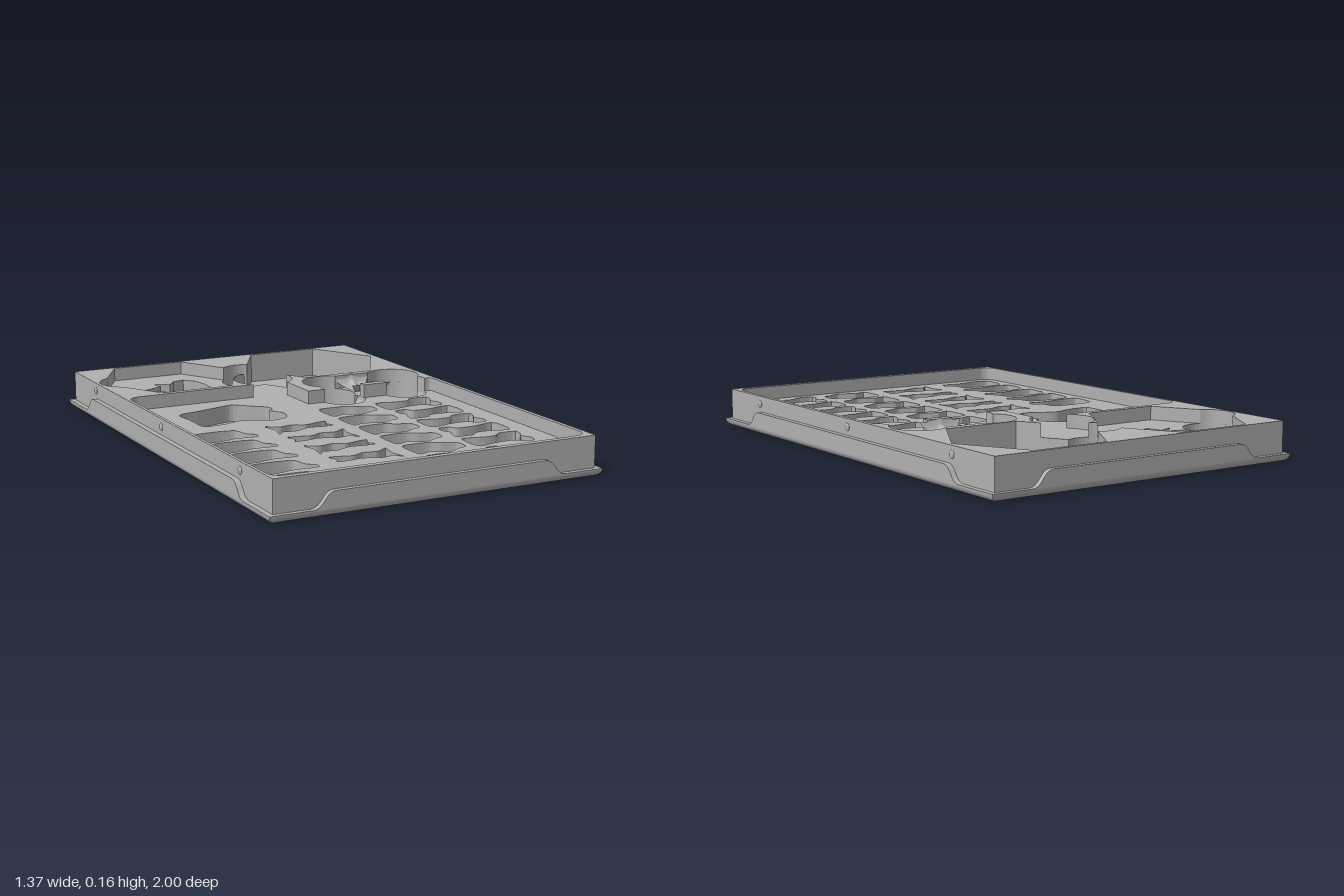
import * as THREE from 'three';

const HALF_X = 0.663, HALF_Z = 0.98;
const BASE = 0.03, MID = 0.1, TOP = 0.155;

// Plan outlines are lists of [x, z]
const arc = (cx, cz, r, a0, a1, n = 20) => Array.from({ length: n + 1 }, (_, i) => {
  const a = THREE.MathUtils.degToRad(a0 + (a1 - a0) * i / n);
  return [cx + r * Math.cos(a), cz + r * Math.sin(a)];
});
const toPath = (pts) => new THREE.Path(pts.map(([x, z]) => new THREE.Vector2(x, z)));
const blob = (pts, n = 48) => new THREE.CatmullRomCurve3(
  pts.map(([x, z]) => new THREE.Vector3(x, 0, z)), true, 'catmullrom', 0.4)
  .getPoints(n).slice(0, -1).map((p) => [p.x, p.z]);

// Round pockets shared between the layers
const finger = (a, b) => arc(0, -0.48, 0.125, a, b);
const hexFinger = (a, b) => arc(0.015, -0.69, 0.1, a, b);
const WELL_X = [0.222, 0.53], BOWL_X = [0.23, 0.522];
const WELL_Z = -0.298, WELL_R = 0.112, BOWL_Z = -0.185, BOWL_R = 0.095;
const well = (i, a, b) => arc(WELL_X[i], WELL_Z, WELL_R, a, b, 32);
const bowlRim = (i, a, b) => arc(BOWL_X[i], BOWL_Z, BOWL_R, a, b);
const rightHex = [[0.173, -0.963], [0.487, -0.963], [0.643, -0.69], [0.487, -0.417], [0.173, -0.417]];

export function createModel() {
  const group = new THREE.Group();
  const grey = new THREE.MeshStandardMaterial({ color: 0xb0b0b0, side: THREE.DoubleSide });
  grey.name = 'grey plastic';
  const add = (geometry, name, parent = group) => {
    const mesh = new THREE.Mesh(geometry, grey);
    mesh.name = name;
    parent.add(mesh);
    return mesh;
  };

  // Base plate with rounded lower edge; lathe radius encodes the inset from the rim
  const profile = [[0, 0]];
  for (let i = 0; i <= 8; i++) {
    const a = i / 8 * Math.PI / 2;
    profile.push([1 - 0.028 * (1 - Math.sin(a)), 0.028 * (1 - Math.cos(a))]);
  }
  profile.push([1, BASE], [0, BASE]);
  let base = new THREE.LatheGeometry(profile.map(([r, y]) => new THREE.Vector2(r, y)), 4, Math.PI / 4);
  const bp = base.attributes.position;
  for (let i = 0; i < bp.count; i++) {
    const r = Math.hypot(bp.getX(i), bp.getZ(i));
    if (r < 0.1) continue;
    bp.setX(i, Math.sign(bp.getX(i)) * (0.685 - 1 + r));
    bp.setZ(i, Math.sign(bp.getZ(i)) * r);
  }
  base = base.toNonIndexed();
  base.computeVertexNormals();
  add(base, 'basePlate');

  // A slab of the tray with pockets cut through it
  const slab = (name, bottom, top, holes) => {
    const shape = new THREE.Shape([[-1, -1], [1, -1], [1, 1], [-1, 1]]
      .map(([x, z]) => new THREE.Vector2(x * HALF_X, z * HALF_Z)));
    shape.holes = holes.map(toPath);
    const g = new THREE.ExtrudeGeometry(shape, { depth: top - bottom, bevelEnabled: false });
    g.rotateX(Math.PI / 2).translate(0, top, 0);
    add(g, name);
  };

  // Upper slab: both hexagons, the grips and the wide recess join into one opening
  slab('upperTray', MID, TOP, [[
    [-0.487, -0.963], [-0.173, -0.963], ...hexFinger(-136, -60), ...rightHex,
    ...finger(-12, 61), [0.06, -0.17],
    ...bowlRim(0, 171, 202), ...well(0, 137, 312), ...well(1, 228, 403), ...bowlRim(1, 338, 369),
    ...arc(0.63, -0.155, 0.015, -90, 0, 5), ...arc(0.595, 0.905, 0.05, 0, 90, 10),
    ...arc(-0.6, 0.905, 0.05, 90, 180, 10), ...arc(-0.6, -0.34, 0.05, 180, 270, 10),
    ...finger(134, 255), ...hexFinger(117, 136), [-0.173, -0.417], [-0.487, -0.417],
    ...arc(-0.55, -0.69, 0.1, 113, 247),
  ]]);

  // Small pocket outlines, one per column
  const slabPiece = [[-0.13, 0.05], [-0.11, -0.06], [0, -0.075], [0.08, -0.06], [0.095, 0],
    [0.125, 0.03], [0.12, 0.06], [0.03, 0.055], [-0.05, 0.072], [-0.115, 0.068]];
  const bonePiece = [[-0.128, -0.065], [-0.08, -0.035], [-0.02, -0.045], [0.03, -0.022], [0.08, -0.035],
    [0.125, -0.04], [0.11, 0], [0.125, 0.03], [0.07, 0.03], [0.02, 0.022], [-0.05, 0.05],
    [-0.1, 0.04], [-0.128, 0.072], [-0.115, 0]];
  const lumpPiece = [[-0.11, -0.06], [-0.06, -0.075], [0.01, -0.07], [0.05, -0.045], [0.105, -0.02],
    [0.105, 0.04], [0.065, 0.055], [0.02, 0.08], [-0.03, 0.06], [-0.06, 0.05], [-0.108, 0.06]];
  const clubPiece = [[-0.125, -0.06], [-0.04, -0.045], [0.02, -0.045], [0.05, -0.072], [0.122, -0.068],
    [0.12, -0.03], [0.105, 0], [0.122, 0.035], [0.115, 0.075], [0.07, 0.075], [0.045, 0.045],
    [-0.03, 0.045], [-0.125, 0.06]];
  const pockets = [];
  const column = (outline, x, z0, rows, flipX, flipZ) => {
    for (let i = 0; i < rows; i++) {
      const odd = i % 2 ? -1 : 1;
      pockets.push(blob(outline.map(([px, pz]) =>
        [x + px * (flipX ? odd : 1), z0 + i * 0.168 + pz * (flipZ ? odd : 1)])));
    }
  };
  column(slabPiece, -0.48, 0.167, 5);
  column(bonePiece, -0.143, 0.167, 5, true);
  column(lumpPiece, 0.16, 0.005, 6);
  column(clubPiece, 0.435, 0.005, 6, true, true);

  // Large irregular pocket and the jagged pocket in the left hexagon
  pockets.push(blob([[-0.49, -0.23], [-0.39, -0.26], [-0.32, -0.28], [-0.23, -0.3], [-0.17, -0.25],
    [-0.115, -0.2], [-0.11, -0.16], [-0.135, -0.14], [-0.1, -0.08], [-0.12, -0.01], [-0.18, 0.015],
    [-0.24, -0.01], [-0.31, -0.035], [-0.39, -0.01], [-0.48, -0.01], [-0.485, -0.12]], 72));
  pockets.push([[-0.442, -0.72], [-0.35, -0.765], [-0.365, -0.82], [-0.3, -0.785], [-0.265, -0.83],
    [-0.215, -0.84], [-0.175, -0.79], [-0.165, -0.72], [-0.17, -0.63], [-0.22, -0.56], [-0.245, -0.545],
    [-0.27, -0.59], [-0.34, -0.575], [-0.355, -0.64], [-0.42, -0.61], [-0.37, -0.665], [-0.442, -0.685]]);

  // Lower slab: only the deep pockets
  slab('lowerTray', BASE, MID, [
    [...rightHex, ...hexFinger(60, 300)],
    arc(-0.55, -0.69, 0.1, 0, 350, 35),
    ...[0, 1].map((i) => [...well(i, 137, 403), ...bowlRim(i, -22, 202)]),
    ...pockets,
  ]);

  // Rounded bowls in front of the two wells
  for (const i of [0, 1]) {
    const g = new THREE.SphereGeometry(BOWL_R, 40, 14, 0, Math.PI * 2, Math.PI / 2, Math.PI / 2);
    g.scale(1.01, 0.068 / BOWL_R, 1.01).translate(BOWL_X[i], MID, BOWL_Z);
    const p = g.attributes.position;
    for (let k = 0; k < p.count; k++) {
      if (Math.hypot(p.getX(k) - WELL_X[i], p.getZ(k) - WELL_Z) < WELL_R) p.setY(k, BASE - 0.001);
    }
    add(g, 'roundBowl');
  }

  // Scooped saddle between the wells, with a low ridge along its middle
  const saddle = new THREE.PlaneGeometry(2, 2, 16, 20).rotateX(-Math.PI / 2);
  const sp = saddle.attributes.position;
  for (let i = 0; i < sp.count; i++) {
    const u = sp.getX(i), v = sp.getZ(i), z = -0.295 + v * 0.09;
    const half = 0.154 - Math.sqrt(WELL_R ** 2 - (z - WELL_Z) ** 2);
    const ridge = 0.012 * (1 - Math.min(1, Math.abs(u) * 2)) ** 2;
    sp.setXYZ(i, 0.376 + u * half, MID + 0.003 + 0.045 * (1 - Math.sqrt(1 - v * v)) + ridge, z);
  }
  saddle.computeVertexNormals();
  add(saddle, 'saddle');
  add(new THREE.BoxGeometry(0.11, TOP - MID, 0.035).translate(0.376, (TOP + MID) / 2, -0.1875), 'saddleWall');

  // Raised flaps on all four sides
  const flap = (topHalf, footHalf, thick) => {
    const s = new THREE.Shape(), mid = (topHalf + footHalf) / 2;
    s.moveTo(-footHalf, BASE);
    s.bezierCurveTo(-mid, BASE, -mid, 0.09, -topHalf, 0.09);
    s.lineTo(topHalf, 0.09);
    s.bezierCurveTo(mid, 0.09, mid, BASE, footHalf, BASE);
    return new THREE.ExtrudeGeometry(s, { depth: thick, bevelEnabled: false });
  };
  for (const side of [1, -1]) {
    const turn = side > 0 ? 0 : Math.PI;
    add(flap(0.43, 0.52, 0.02).translate(0, 0, HALF_Z).rotateY(turn), side > 0 ? 'frontFlap' : 'backFlap');
    add(flap(0.7, 0.79, 0.022).translate(0, 0, HALF_X).rotateY(turn + Math.PI / 2),
      side > 0 ? 'leftFlap' : 'rightFlap');
    // Round catches along the long sides
    for (const z of [-0.72, 0, 0.72]) {
      const stud = add(new THREE.SphereGeometry(0.016, 16, 10), 'sideCatch');
      stud.scale.x = 0.3;
      stud.position.set(side * HALF_X, 0.122, z);
    }
  }
  return group;
}
